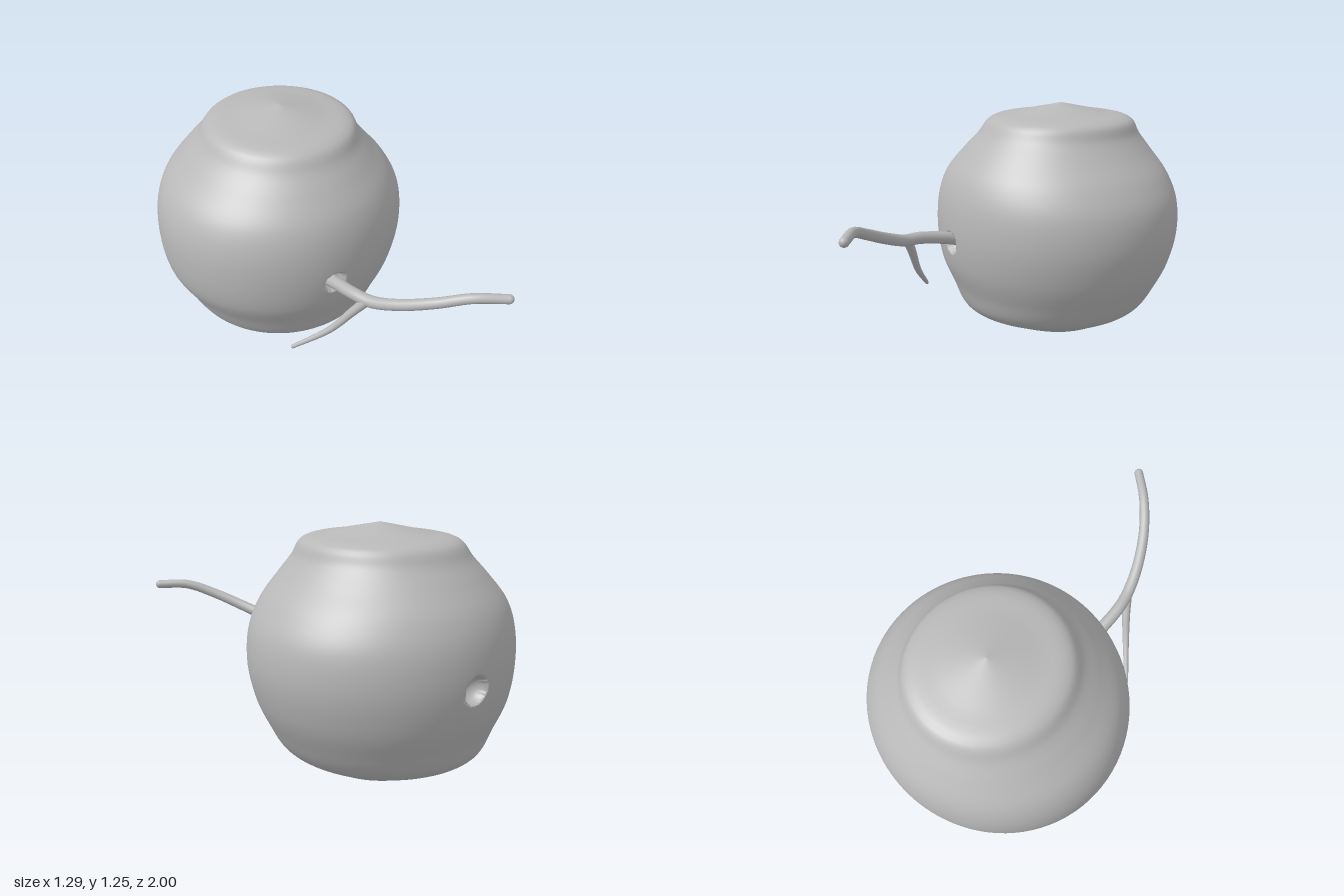
import * as THREE from 'three';

const V = (x, y, z) => new THREE.Vector3(x, y, z);
const CENTER_Z = -0.385;

// Horizontal cross-sections of the body: height, x offset, x radius, z radius
const SECTIONS = [
  [0, 0, 0, 0], [0.07, -0.01, 0.23, 0.21], [0.13, -0.03, 0.37, 0.36],
  [0.2, -0.015, 0.475, 0.485], [0.32, -0.007, 0.548, 0.54], [0.45, -0.008, 0.612, 0.59],
  [0.62, 0, 0.643, 0.615], [0.78, 0, 0.63, 0.605], [0.9, -0.005, 0.575, 0.567],
  [1.02, 0, 0.47, 0.485], [1.1, 0.01, 0.4, 0.42], [1.17, 0.02, 0.355, 0.37],
  [1.205, 0.02, 0.205, 0.22], [1.25, 0.025, 0, 0],
];

// Round cups sunk into the front and back of the body
const CUPS = [
  { center: V(-0.12, 0.585, 0.219), radius: 0.056 },
  { center: V(0.14, 0.605, -0.985), radius: 0.064 },
].map(c => ({ ...c, inward: V(-c.center.x, 0, CENTER_Z - c.center.z).normalize() }));

function bodyGeometry() {
  const rows = 120, cols = 160;
  const outline = new THREE.CatmullRomCurve3(SECTIONS.map(s => V(s[2], s[0], s[3])));
  const offsets = new THREE.CatmullRomCurve3(SECTIONS.map(s => V(s[1], s[0], 0)));
  const positions = [], index = [];
  const s0 = 0.475, k = 0.8 / (2 * Math.PI);
  for (let j = 0; j <= rows; j++) {
    // rows and columns lie closer together around the cups
    const s = j / rows;
    const t = THREE.MathUtils.clamp(
      s - k * (Math.sin(2 * Math.PI * (s - s0)) + Math.sin(2 * Math.PI * s0)), 0, 1);
    const ring = outline.getPoint(t), cx = offsets.getPoint(t).x;
    for (let i = 0; i < cols; i++) {
      const u = (i / cols) * 2 * Math.PI;
      const a = 1.78 + u - 0.42 * Math.sin(2 * u);
      const p = V(cx + ring.x * Math.cos(a), ring.y, CENTER_Z + ring.z * Math.sin(a));
      for (const { center, radius, inward } of CUPS) {
        const d = p.distanceTo(center);
        if (d < radius) {
          p.addScaledVector(inward, 1.1 * Math.sqrt(radius * radius - d * d));
          break;
        }
      }
      positions.push(p.x, p.y, p.z);
      if (j < rows) {
        const n = (i + 1) % cols, lo = j * cols, hi = lo + cols;
        index.push(lo + i, hi + i, lo + n, lo + n, hi + i, hi + n);
      }
    }
  }
  const g = new THREE.BufferGeometry();
  g.setAttribute('position', new THREE.Float32BufferAttribute(positions, 3));
  g.setIndex(index);
  g.computeVertexNormals();
  return g;
}

// Tube that narrows from r0 to r1, with a rounded tip
function taperedTwig(name, points, r0, r1, material) {
  const segments = 48, sides = 16;
  const curve = new THREE.CatmullRomCurve3(points);
  const g = new THREE.TubeGeometry(curve, segments, 1, sides);
  const pos = g.attributes.position, p = V();
  for (let i = 0; i < pos.count; i++) {
    const t = Math.floor(i / (sides + 1)) / segments;
    const c = curve.getPointAt(t);
    p.fromBufferAttribute(pos, i).sub(c).multiplyScalar(r0 + (r1 - r0) * t).add(c);
    pos.setXYZ(i, p.x, p.y, p.z);
  }
  const group = new THREE.Group();
  group.name = name;
  const tip = new THREE.Mesh(new THREE.SphereGeometry(r1, 16, 12), material);
  tip.name = name + 'Tip';
  tip.position.copy(curve.getPoint(1));
  const shaft = new THREE.Mesh(g, material);
  shaft.name = name + 'Shaft';
  group.add(shaft, tip);
  return group;
}

export function createModel() {
  const model = new THREE.Group();
  model.name = 'fruitWithStem';
  const grey = new THREE.MeshStandardMaterial({ color: 0xb8b8b8 });
  grey.name = 'plain grey';

  const body = new THREE.Mesh(bodyGeometry(), grey);
  body.name = 'body';
  model.add(body);

  // Main stem rising forward out of the front cup
  model.add(taperedTwig('stem', [
    V(-0.13, 0.585, 0.14), V(-0.138, 0.61, 0.24), V(-0.142, 0.635, 0.38), V(-0.125, 0.645, 0.48),
    V(-0.08, 0.69, 0.61), V(0, 0.755, 0.755), V(0.1, 0.808, 0.875), V(0.212, 0.812, 0.978),
  ], 0.033, 0.022, grey));

  // Thin side twig bending back and down
  model.add(taperedTwig('sideTwig', [
    V(-0.138, 0.635, 0.455), V(-0.175, 0.565, 0.41), V(-0.25, 0.435, 0.33), V(-0.372, 0.298, 0.197),
  ], 0.024, 0.01, grey));

  return model;
}
